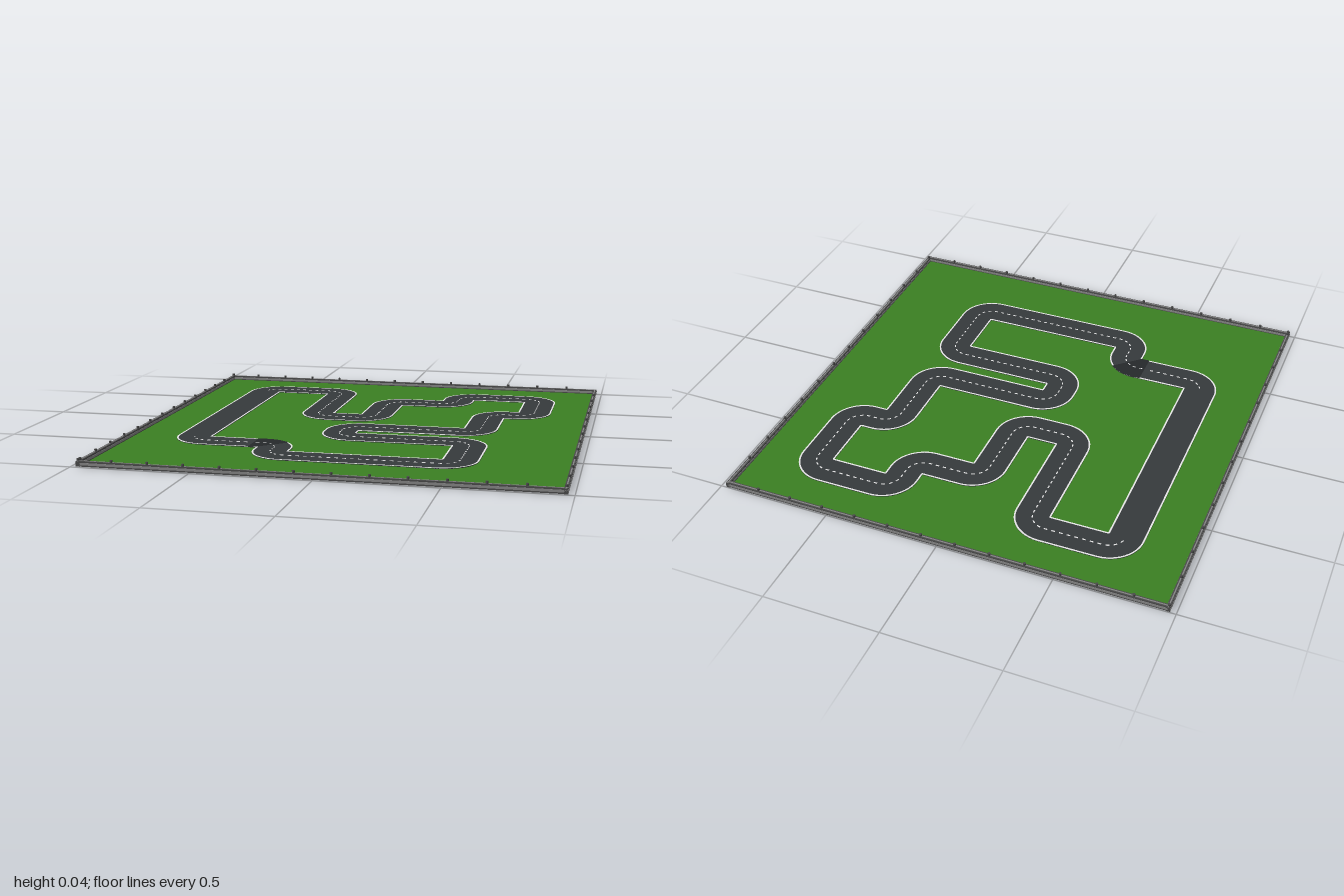
import * as THREE from 'three';

const mat = (name, color) => {
  const m = new THREE.MeshStandardMaterial({ color });
  m.name = name;
  return m;
};

// Start point, then the square corners of the track centre line (x, z)
const CORNERS = [
  [-0.403, 0.459], [-0.29, 0.459], [-0.29, 0.657], [0.512, 0.657], [0.512, 0.257], [-0.09, 0.257],
  [-0.09, 0.056], [0.512, 0.056], [0.512, -0.347], [0.714, -0.347], [0.714, -0.75], [0.316, -0.75],
  [0.316, -0.549], [-0.008, -0.549], [-0.008, -0.146], [-0.29, -0.146], [-0.29, -0.75],
  [-0.692, -0.75], [-0.692, 0.459],
];
const R = 0.0765; // corner radius of the centre line and half the road width

// Frames along the rounded centre line: position, tangent and distance
function buildFrames() {
  const pts = CORNERS.map(([x, z]) => new THREE.Vector2(x, z));
  const n = pts.length;
  const dir = (a, b) => pts[b % n].clone().sub(pts[a % n]).normalize();
  const frames = [{ p: pts[0].clone(), t: dir(0, 1) }];
  for (let i = 1; i < n; i++) {
    const a = dir(i - 1, i), b = dir(i, i + 1);
    const centre = pts[i].clone().addScaledVector(a, -R).addScaledVector(b, R);
    for (let k = 0; k <= 12; k++) {
      const q = (k / 12) * Math.PI / 2, c = Math.cos(q), s = Math.sin(q);
      frames.push({
        p: centre.clone().addScaledVector(b, -R * c).addScaledVector(a, R * s),
        t: a.clone().multiplyScalar(c).addScaledVector(b, s),
      });
    }
  }
  frames.push({ p: pts[0].clone(), t: dir(0, 1) });
  frames.forEach((f, i) => { f.s = i ? frames[i - 1].s + f.p.distanceTo(frames[i - 1].p) : 0; });
  return frames;
}

function frameAt(frames, s) {
  let i = 1;
  while (i < frames.length - 1 && frames[i].s < s) i++;
  const a = frames[i - 1], b = frames[i], u = (s - a.s) / (b.s - a.s);
  return { p: a.p.clone().lerp(b.p, u), t: a.t.clone().lerp(b.t, u).normalize(), s };
}

const between = (frames, s0, s1) =>
  [frameAt(frames, s0), ...frames.filter(f => f.s > s0 + 1e-5 && f.s < s1 - 1e-5), frameAt(frames, s1)];

// Sweep a rectangle (sideways offsets o0..o1, heights y0..y1) along frames
function sweep(frames, o0, o1, y0, y1, out = []) {
  const rings = frames.map(({ p, t }) => [[o0, y0], [o1, y0], [o1, y1], [o0, y1]]
    .map(([o, y]) => [p.x - t.y * o, y, p.y + t.x * o]));
  for (let i = 0; i < rings.length - 1; i++) {
    for (let j = 0; j < 4; j++) {
      const k = (j + 1) % 4;
      const a = rings[i][j], b = rings[i][k], c = rings[i + 1][k], d = rings[i + 1][j];
      out.push(...a, ...c, ...b, ...a, ...d, ...c);
    }
  }
  return out;
}

function toGeometry(positions) {
  const g = new THREE.BufferGeometry();
  g.setAttribute('position', new THREE.Float32BufferAttribute(positions, 3));
  g.computeVertexNormals();
  return g;
}

export function createModel() {
  const model = new THREE.Group();
  model.name = 'raceTrack';
  const grass = mat('grass green', 0x3b8022);
  const asphalt = mat('asphalt', 0x363a3c);
  const darkAsphalt = mat('dark asphalt', 0x25292b);
  const paint = mat('white paint', 0xe6e6e6);
  const rail = mat('rail grey', 0x858585);
  const frame = mat('dark frame grey', 0x4a4a4a);

  const add = (name, geometry, material, x = 0, y = 0, z = 0, parent = model) => {
    const m = new THREE.Mesh(geometry, material);
    m.name = name;
    m.position.set(x, y, z);
    parent.add(m);
    return m;
  };

  // Ground
  add('ground', new THREE.BoxGeometry(1.95, 0.002, 1.99), grass, 0, 0.004, 0);

  // Road slab, showing on both sides of the ground
  const frames = buildFrames();
  add('road', toGeometry(sweep(frames, -R, R, 0, 0.008)), asphalt);

  // Edge lines
  for (const [name, a, b] of [['innerEdgeLine', -R, -R + 0.007], ['outerEdgeLine', R - 0.007, R]]) {
    add(name, toGeometry(sweep(frames, a, b, 0.007, 0.0088)), paint);
  }

  // Dark patch at the start
  add('startPatch', toGeometry(sweep(between(frames, 0, 0.1), -R, R, 0.007, 0.0094)), darkAsphalt);

  // Centre dashes
  const dashes = [];
  const total = frames[frames.length - 1].s;
  for (let s = 0.01; s < total - 0.02; s += 0.033) {
    if (Math.abs(frameAt(frames, s).p.x + 0.692) < 0.002) continue;
    sweep(between(frames, s, s + 0.016), -0.0025, 0.0025, 0.007, 0.0098, dashes);
  }
  add('centreDashes', toGeometry(dashes), paint);

  // Barriers: dark body, lighter rail strips on both faces and on top, and posts
  const sides = [
    ['frontBarrier', 0, 0.99, 1.95, 0, -0.827],
    ['backBarrier', 0, -0.99, 1.95, 0, -0.827],
    ['leftBarrier', 0.967, 0, 2, Math.PI / 2, -0.828],
    ['rightBarrier', -0.967, 0, 2, Math.PI / 2, -0.823],
  ];
  for (const [name, x, z, length, turn, first] of sides) {
    const g = new THREE.Group();
    g.name = name;
    g.position.set(x, 0, z);
    g.rotation.y = turn;
    model.add(g);
    add('barrierBody', new THREE.BoxGeometry(length, 0.022, 0.016), frame, 0, 0.014, 0, g);
    add('railStrip', new THREE.BoxGeometry(length, 0.01, 0.019), rail, 0, 0.014, 0, g);
    add('topStrip', new THREE.BoxGeometry(length, 0.002, 0.005), rail, 0, 0.0252, 0, g);
    for (let i = -1; i < 12; i++) {
      const px = THREE.MathUtils.clamp(first + i * 0.15, -length / 2 + 0.007, length / 2 - 0.007);
      add('post', new THREE.CylinderGeometry(0.006, 0.006, 0.031, 8), frame, px, 0.0195, 0, g);
    }
  }
  return model;
}
